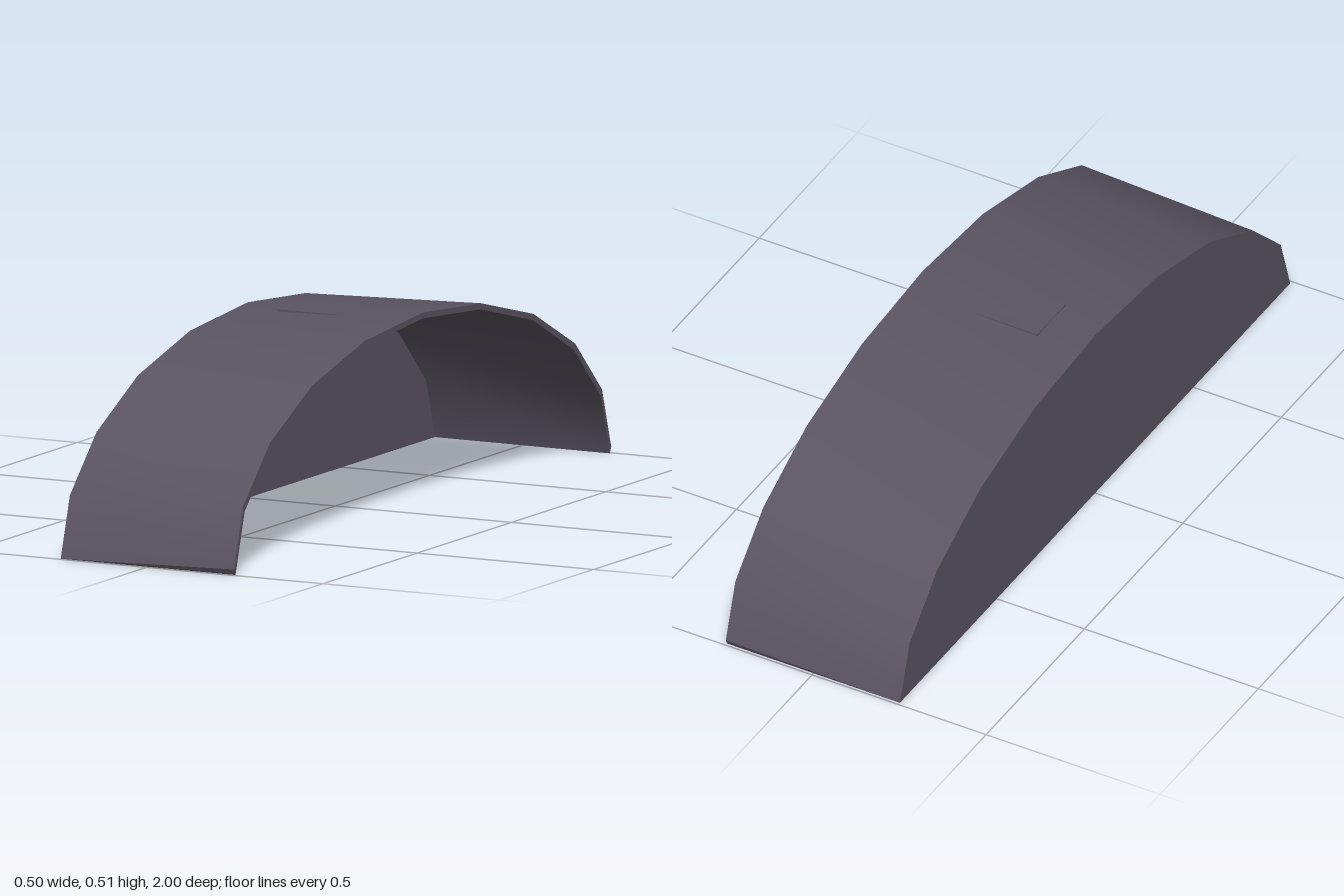
import * as THREE from 'three';

const HALF_W = 0.248;
const SEGMENTS = 10;

// Half-ellipse cross-section, running from the front foot over to the back foot
function archProfile(x, radiusZ, height, lift) {
  const points = [];
  for (let i = 0; i <= SEGMENTS; i++) {
    const t = (i / SEGMENTS) * Math.PI;
    points.push(new THREE.Vector3(x, height * Math.sin(t) + lift, radiusZ * Math.cos(t)));
  }
  return points;
}

// Surface joining two matching rows of points
function strip(a, b) {
  const n = a.length;
  const index = [];
  for (let i = 0; i < n - 1; i++) {
    index.push(i, n + i, i + 1, n + i, n + i + 1, i + 1);
  }
  const geometry = new THREE.BufferGeometry().setFromPoints([...a, ...b]);
  geometry.setIndex(index);
  geometry.computeVertexNormals();
  return geometry;
}

export function createModel() {
  const model = new THREE.Group();
  model.name = 'archedCanopy';

  const shellMaterial = new THREE.MeshStandardMaterial({ color: 0x5a5461, side: THREE.DoubleSide });
  shellMaterial.name = 'darkGreyPurple';
  const lampMaterial = new THREE.MeshStandardMaterial({ color: 0xcac6b8 });
  lampMaterial.name = 'paleLamp';

  const add = (name, geometry, material, parent = model) => {
    const mesh = new THREE.Mesh(geometry, material);
    mesh.name = name;
    parent.add(mesh);
    return mesh;
  };

  // Canopy: thin at the wall, thickening and rising toward the open side
  const wallEdge = archProfile(-HALF_W, 0.992, 0.497, 0);
  const innerEdge = archProfile(HALF_W, 0.992, 0.497, 0);
  const outerEdge = archProfile(HALF_W, 1, 0.497, 0.015);
  const canopy = new THREE.Group();
  canopy.name = 'canopy';
  model.add(canopy);
  add('outerSkin', strip(wallEdge, outerEdge), shellMaterial, canopy);
  add('innerSkin', strip(innerEdge, wallEdge), shellMaterial, canopy);
  add('openRim', strip(outerEdge, innerEdge), shellMaterial, canopy);

  // Bevelled feet closing the skins at both ends
  const last = SEGMENTS;
  add('frontFoot', strip([wallEdge[0], wallEdge[0]], [innerEdge[0], outerEdge[0]]), shellMaterial, canopy);
  add('backFoot', strip([wallEdge[last], wallEdge[last]], [outerEdge[last], innerEdge[last]]), shellMaterial, canopy);

  // Flat wall closing one side
  const wallShape = new THREE.Shape(wallEdge.map((p) => new THREE.Vector2(p.z, p.y)));
  const wall = add('sideWall', new THREE.ShapeGeometry(wallShape), shellMaterial);
  wall.rotation.y = -Math.PI / 2;
  wall.position.x = -HALF_W;

  // Ceiling lamp housing, just breaking through the roof, and its light panel
  const housing = add('lampHousing', new THREE.BoxGeometry(0.247, 0.068, 0.146), shellMaterial);
  housing.position.y = 0.467;
  const panel = add('lampPanel', new THREE.BoxGeometry(0.225, 0.004, 0.126), lampMaterial);
  panel.position.y = 0.432;

  return model;
}
